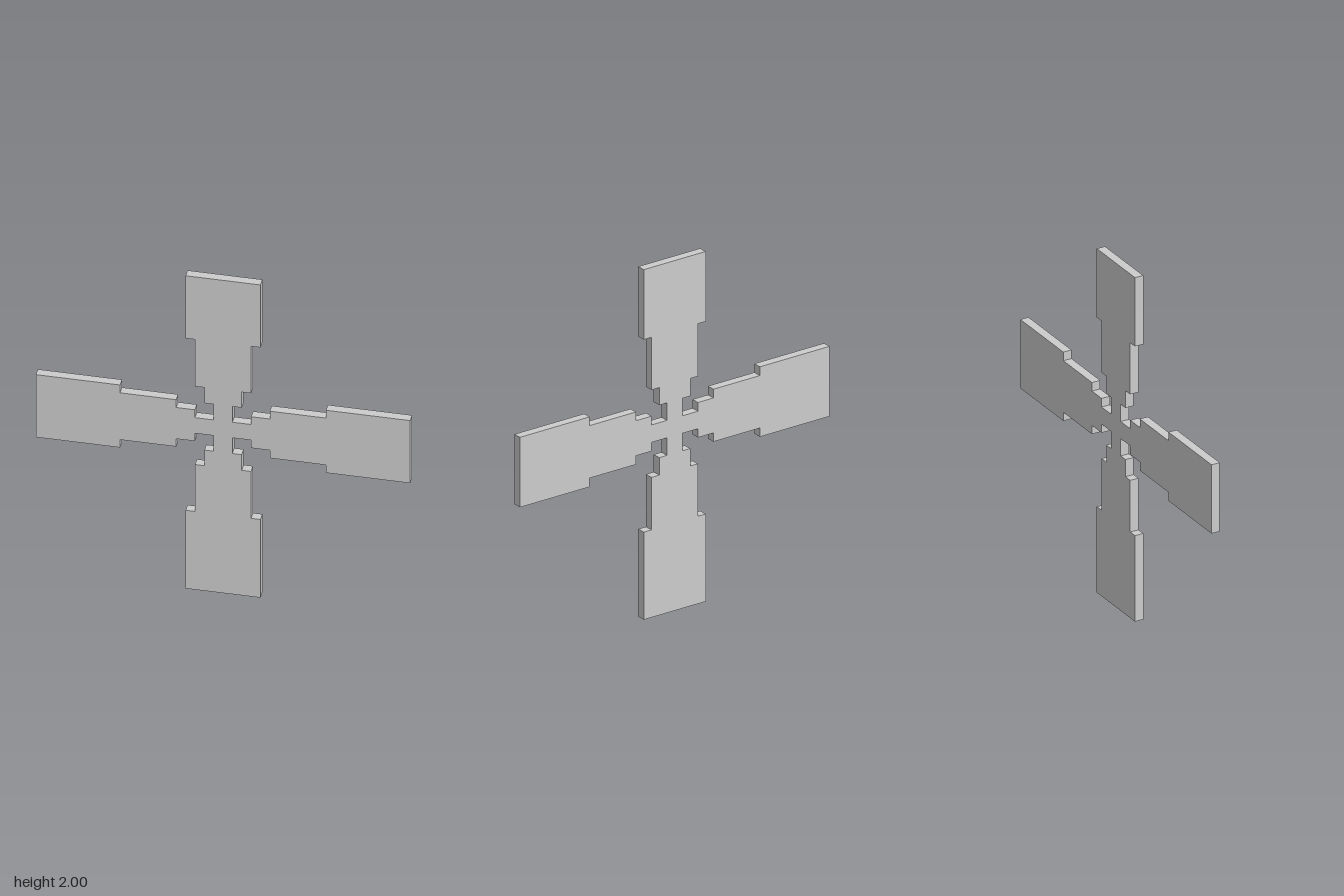
import * as THREE from 'three';

const HUB_Y = 1.05;
const DEPTH = 0.05;
// distance from the hub where each step of a blade ends, and its half width
const STEPS = [[0.15, 0.05], [0.25, 0.1], [0.55, 0.15]];
const TIP_HALF_WIDTH = 0.2;
// blade lengths, counter-clockwise from +x: left, top, right, bottom
const LENGTHS = [1, 0.95, 1, 1.05];

// Outline of one stepped blade pointing along +x, lower edge out, upper edge back
function bladeOutline(length) {
  const lower = [[0.05, -0.05]];
  const steps = [...STEPS, [length, TIP_HALF_WIDTH]];
  steps.forEach(([end, half], i) => {
    if (i > 0) lower.push([steps[i - 1][0], -half]);
    lower.push([end, -half]);
  });
  // the last upper point is the first point of the next blade
  const upper = lower.slice(1).reverse().map(([x, y]) => [x, -y]);
  return [...lower, ...upper].map(([x, y]) => new THREE.Vector2(x, y));
}

export function createModel() {
  const group = new THREE.Group();
  group.name = 'steppedBladeCross';

  // All four blades share one continuous outline
  const centre = new THREE.Vector2();
  const outline = LENGTHS.flatMap((length, i) =>
    bladeOutline(length).map((p) => p.rotateAround(centre, i * Math.PI / 2)));

  const geometry = new THREE.ExtrudeGeometry(new THREE.Shape(outline), { depth: DEPTH, bevelEnabled: false });
  geometry.translate(0, HUB_Y, -DEPTH / 2);

  const blades = new THREE.Mesh(geometry, new THREE.MeshStandardMaterial({ color: 0xcccccc, flatShading: true }));
  blades.name = 'blades';
  group.add(blades);
  return group;
}
